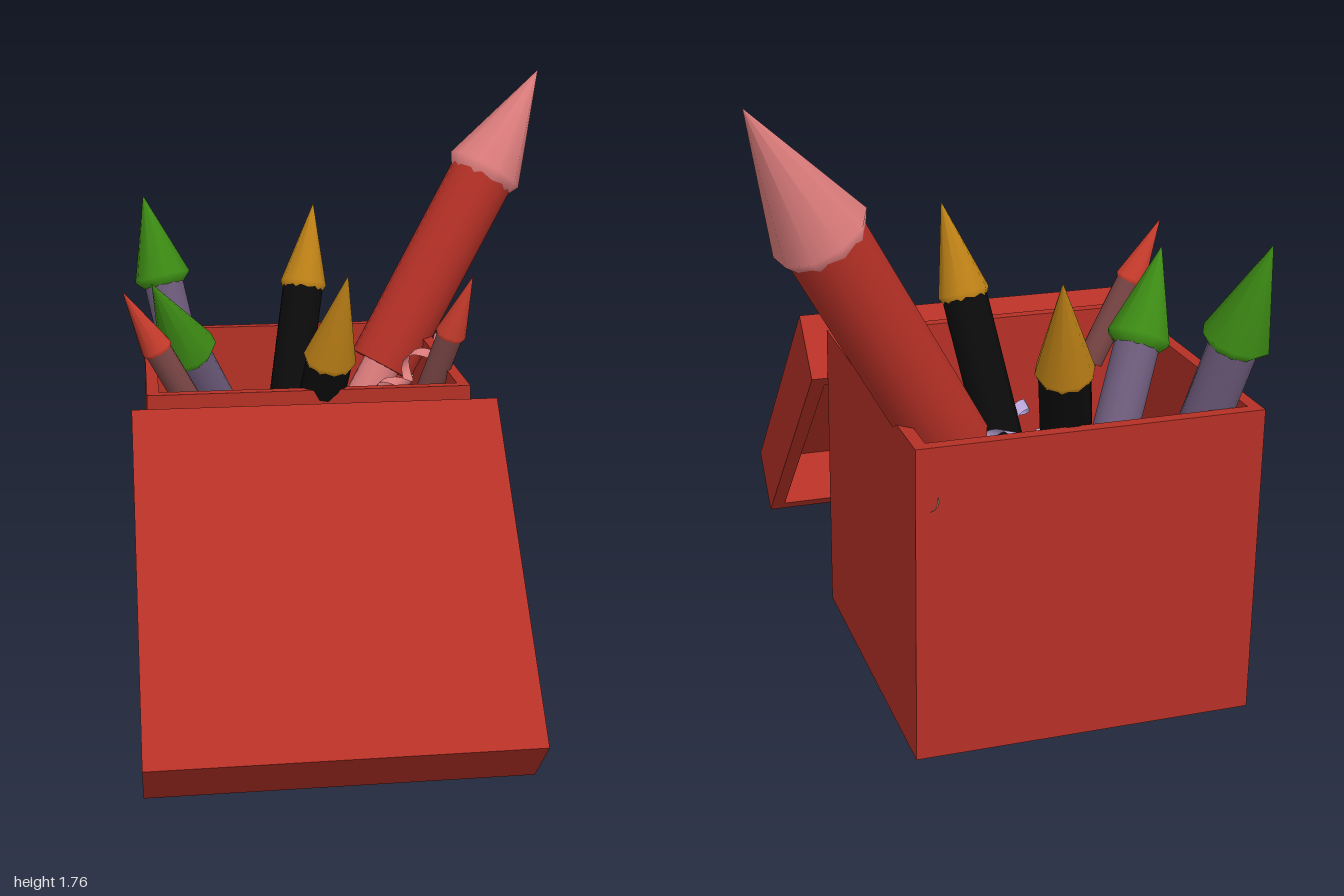
import * as THREE from 'three';

const mat = (name, color, side = THREE.FrontSide) => {
  const m = new THREE.MeshStandardMaterial({ color, side });
  m.name = name;
  return m;
};

export function createModel() {
  const model = new THREE.Group();
  model.name = 'fireworkBox';

  const red = mat('boxRed', 0xb53026);
  const pink = mat('pink', 0xdc7c7c, THREE.DoubleSide);
  const green = mat('green', 0x3c8a14);
  const gold = mat('gold', 0xbc8016);
  const purple = mat('dullPurple', 0x6c5a7a);
  const black = mat('black', 0x0b0b0b);
  const brown = mat('redBrown', 0x784444);
  const scarlet = mat('scarlet', 0xc83c2c);
  const cream = mat('cream', 0xc8c6a0, THREE.DoubleSide);
  const lavender = mat('lavender', 0xb8a4d8, THREE.DoubleSide);

  const add = (parent, name, geometry, material, y = 0) => {
    const mesh = new THREE.Mesh(geometry, material);
    mesh.name = name;
    mesh.position.y = y;
    parent.add(mesh);
    return mesh;
  };

  // Square ring of walls, standing from y = 0 up to the height
  const walls = (size, wall, height) => {
    const square = (path, h) => {
      path.moveTo(-h, -h);
      path.lineTo(h, -h);
      path.lineTo(h, h);
      path.lineTo(-h, h);
      path.closePath();
      return path;
    };
    const shape = square(new THREE.Shape(), size / 2);
    shape.holes.push(square(new THREE.Path(), size / 2 - wall));
    return new THREE.ExtrudeGeometry(shape, { depth: height, bevelEnabled: false }).rotateX(-Math.PI / 2);
  };

  // Open box
  const box = new THREE.Group();
  box.name = 'box';
  box.position.set(-0.095, 0.02, -0.43);
  box.rotation.y = -0.162;
  add(box, 'boxWalls', walls(0.95, 0.035, 0.84), red, 0.04);
  add(box, 'boxFloor', new THREE.BoxGeometry(0.95, 0.04, 0.95), red, 0.02);
  model.add(box);

  // Lid leaning on the front of the box
  const lid = new THREE.Group();
  lid.name = 'lid';
  lid.position.set(-0.254, 0.528, 0.554);
  lid.rotation.set(0.796, -0.162, 0, 'YXZ');
  add(lid, 'lidRim', walls(1.042, 0.045, 0.177), red, -0.217);
  add(lid, 'lidPlate', new THREE.BoxGeometry(1.042, 0.04, 1.042), red, -0.02);
  model.add(lid);

  // Firework rocket: starts at the tip and runs down along dir
  const rocket = (name, o) => {
    const g = new THREE.Group();
    g.name = name;
    g.position.set(...o.tip);
    const up = new THREE.Vector3(...o.dir).normalize().negate();
    g.quaternion.setFromUnitVectors(new THREE.Vector3(0, 1, 0), up);
    const cone = [
      new THREE.Vector2(o.bodyR * 0.95, -o.cone - o.coneR * 0.35),
      new THREE.Vector2(o.coneR, -o.cone),
      new THREE.Vector2(0, 0),
    ];
    add(g, 'noseCone', new THREE.LatheGeometry(cone, 10), o.tipMat);
    add(g, 'tube', new THREE.CylinderGeometry(o.bodyR, o.bodyR, o.body, 16), o.bodyMat, -o.cone - o.body / 2);
    const end = o.cone + o.body;
    const nozzle = o.bodyR * 1.2;
    add(g, 'nozzle', new THREE.CylinderGeometry(o.bodyR * 0.6, o.bodyR * 0.6, nozzle, 12), o.tipMat, -end - nozzle / 2);
    const stick = o.length - end;
    add(g, 'stick', new THREE.CylinderGeometry(o.stickR, o.stickR, stick, 8), black, -end - stick / 2);
    model.add(g);
  };

  const big = { cone: 0.38, coneR: 0.128, body: 0.74, bodyR: 0.108, stickR: 0.027, length: 1.6, tipMat: pink, bodyMat: red };
  const greenKind = { cone: 0.28, coneR: 0.094, body: 0.41, bodyR: 0.066, stickR: 0.02, length: 1.26, tipMat: green, bodyMat: purple };
  const goldKind = { cone: 0.28, coneR: 0.078, body: 0.58, bodyR: 0.068, stickR: 0.02, length: 1.25, tipMat: gold, bodyMat: black };
  const small = { cone: 0.2, coneR: 0.048, body: 0.28, bodyR: 0.04, stickR: 0.012, length: 1.05, tipMat: scarlet, bodyMat: brown };

  rocket('bigRocket', { ...big, tip: [0.82, 1.76, -0.69], dir: [-0.6, -1, 0.09] });
  rocket('backGreenRocket', { ...greenKind, tip: [-0.475, 1.35, -0.98], dir: [0.17, -1, 0.27] });
  rocket('rightGreenRocket', { ...greenKind, tip: [-0.565, 1.17, -0.34], dir: [0.44, -0.84, -0.31] });
  rocket('backGoldRocket', { ...goldKind, tip: [0.1, 1.31, -0.92], dir: [-0.21, -0.93, 0.29] });
  rocket('frontGoldRocket', { ...goldKind, tip: [-0.08, 1.25, 0.12], dir: [-0.1, -0.93, -0.35] });
  rocket('rightSmallRocket', { ...small, tip: [-0.685, 1.19, -0.145], dir: [0.48, -0.88, 0.01] });
  rocket('leftSmallRocket', { ...small, tip: [0.355, 1.2, -0.03], dir: [-0.25, -0.93, -0.27] });

  // Curled paper ribbon winding around the line from a to b
  const ribbon = (name, material, a, b, radius, turns, width = 0.045) => {
    const start = new THREE.Vector3(...a);
    const axis = new THREE.Vector3(...b).sub(start);
    const along = axis.clone().normalize();
    const u = new THREE.Vector3(0.3, 1, 0.2).cross(along).normalize();
    const v = along.clone().cross(u);
    const steps = Math.ceil(turns * 14);
    const pos = [], index = [];
    for (let i = 0; i <= steps; i++) {
      const t = i / steps, angle = t * turns * Math.PI * 2;
      const taper = width * Math.min(1, 0.3 + 4 * Math.min(t, 1 - t));
      const p = start.clone().addScaledVector(axis, t)
        .addScaledVector(u, Math.cos(angle) * radius)
        .addScaledVector(v, Math.sin(angle) * radius);
      for (const s of [-0.5, 0.5]) pos.push(...p.clone().addScaledVector(along, s * taper).toArray());
      const k = i * 2;
      if (i < steps) index.push(k, k + 1, k + 2, k + 1, k + 3, k + 2);
    }
    const geometry = new THREE.BufferGeometry();
    geometry.setAttribute('position', new THREE.Float32BufferAttribute(pos, 3));
    geometry.setIndex(index);
    geometry.computeVertexNormals();
    add(model, name, geometry, material);
  };

  ribbon('creamRibbonBack', cream, [-0.12, 0.45, -0.8], [-0.08, 0.62, -0.68], 0.055, 1.5);
  ribbon('creamRibbonRight', cream, [-0.34, 0.4, -0.38], [-0.16, 0.5, -0.42], 0.07, 1.5);
  ribbon('creamRibbonLeft', cream, [0.08, 0.45, -0.3], [0.2, 0.65, -0.55], 0.07, 2.3);
  ribbon('creamRibbonFront', cream, [0.17, 0.4, -0.15], [0.22, 0.6, -0.45], 0.05, 2);
  ribbon('creamRibbonCorner', cream, [0.4, 0.7, -0.72], [0.42, 0.76, -0.84], 0.025, 1, 0.03);
  ribbon('lavenderRibbonBack', lavender, [-0.44, 0.5, -0.74], [-0.38, 0.65, -0.56], 0.04, 1.5);
  ribbon('lavenderRibbonMiddle', lavender, [-0.22, 0.6, -0.38], [0.08, 0.7, -0.38], 0.04, 2);
  ribbon('lavenderRibbonRight', lavender, [-0.22, 0.55, -0.26], [-0.24, 0.65, -0.02], 0.04, 2);
  ribbon('lavenderRibbonFront', lavender, [-0.16, 0.5, -0.05], [0.06, 0.6, -0.1], 0.035, 1.5);
  ribbon('pinkRibbonLeft', pink, [0.14, 0.8, -0.24], [0.36, 0.95, -0.31], 0.035, 2, 0.035);
  ribbon('pinkRibbonMiddle', pink, [-0.22, 0.6, -0.34], [-0.17, 0.75, -0.45], 0.035, 1.5, 0.035);
  ribbon('pinkRibbonFront', pink, [0.12, 0.6, -0.2], [0.26, 0.7, -0.1], 0.035, 1.5, 0.035);

  return model;
}
